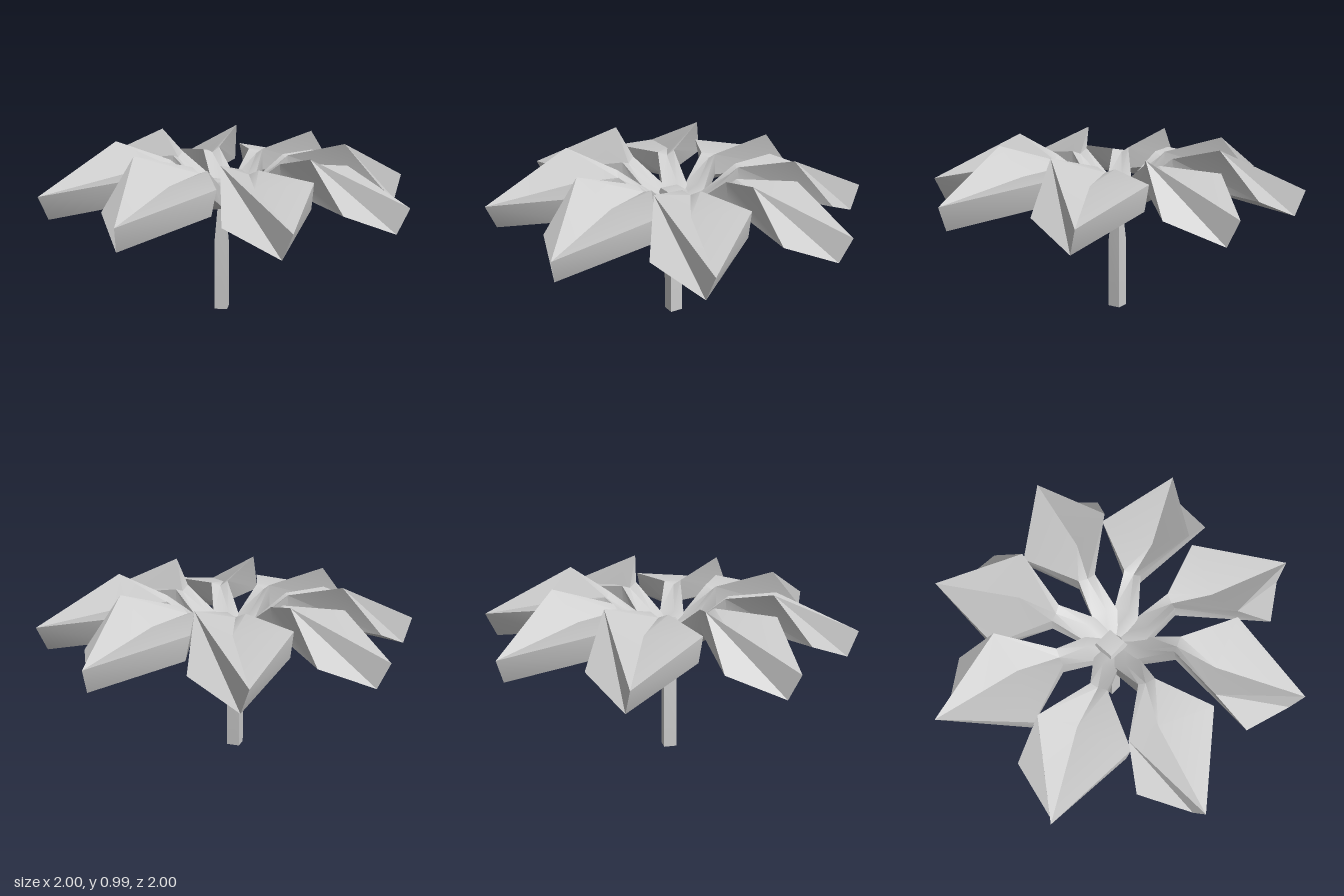
import * as THREE from 'three';
import { toCreasedNormals } from 'three/addons/utils/BufferGeometryUtils.js';

// Skins six-point rings (left, middle, right on top; right, middle, left below)
function loft(rings) {
  const pos = [];
  const tri = (a, b, c) => {
    const n = new THREE.Triangle(...[a, b, c].map(p => new THREE.Vector3(...p)));
    if (n.getArea() > 1e-7) pos.push(...a, ...b, ...c);
  };
  for (let i = 0; i < rings.length - 1; i++) {
    for (let j = 0; j < 6; j++) {
      const k = (j + 1) % 6;
      const a = rings[i][j], b = rings[i][k], c = rings[i + 1][k], d = rings[i + 1][j];
      tri(a, d, b);
      tri(b, d, c);
    }
  }
  for (let k = 1; k < 5; k++) tri(rings[0][0], rings[0][k], rings[0][k + 1]);
  const geo = new THREE.BufferGeometry();
  geo.setAttribute('position', new THREE.Float32BufferAttribute(pos, 3));
  return toCreasedNormals(geo, 0.75);
}

// Square column from [y, half width] rows
function squareColumn(rows) {
  const geo = new THREE.LatheGeometry(rows.map(([y, h]) => new THREE.Vector2(h * Math.SQRT2, y)), 4);
  geo.rotateY(Math.PI / 4);
  return toCreasedNormals(geo.toNonIndexed(), 0.6);
}

export function createModel() {
  const model = new THREE.Group();
  model.name = 'flower';
  const material = new THREE.MeshStandardMaterial({ color: 0xcccccc, side: THREE.DoubleSide });

  // Petal: narrow rising stalk, arched neck, wide folded blade, drooping tip
  const tipTop = [0.444, 0.74, 0.98], tipBottom = [0.39, 0.6, 0.945];
  const petalGeo = loft([
    [[-0.03, 0.70, 0.04], [0.01, 0.71, 0.03], [0.05, 0.70, 0.02], [0.05, 0.62, 0.02], [0.01, 0.61, 0.03], [-0.03, 0.62, 0.04]],
    [[-0.01, 0.75, 0.17], [0.05, 0.76, 0.16], [0.13, 0.75, 0.13], [0.12, 0.65, 0.13], [0.06, 0.63, 0.16], [0.0, 0.65, 0.18]],
    [[0.11, 0.90, 0.32], [0.15, 0.87, 0.305], [0.20, 0.89, 0.285], [0.20, 0.77, 0.29], [0.16, 0.73, 0.32], [0.12, 0.77, 0.33]],
    [[0.05, 0.985, 0.645], [0.21, 0.84, 0.53], [0.505, 0.865, 0.435], [0.495, 0.73, 0.46], [0.27, 0.69, 0.58], [0.09, 0.725, 0.865]],
    [tipTop, tipTop, tipTop, tipBottom, tipBottom, tipBottom],
  ]);
  const petals = new THREE.Group();
  petals.name = 'petals';
  for (let i = 0; i < 8; i++) {
    const petal = new THREE.Mesh(petalGeo, material);
    petal.name = 'petal' + (i + 1);
    petal.rotation.y = Math.floor(i / 2) * Math.PI / 2 - (i % 2) * THREE.MathUtils.degToRad(46.3);
    petals.add(petal);
  }
  model.add(petals);

  // Centre button
  const hub = new THREE.Mesh(squareColumn([[0.66, 0], [0.68, 0.05], [0.72, 0.067], [0.765, 0.055], [0.775, 0]]), material);
  hub.name = 'flowerCentre';
  hub.position.set(-0.045, 0, 0);
  model.add(hub);

  // Square stem, narrowing towards the bloom
  const stem = new THREE.Mesh(squareColumn([[0, 0], [0, 0.037], [0.4, 0.037], [0.61, 0.02], [0.7, 0.02]]), material);
  stem.name = 'stem';
  stem.position.set(-0.045, 0, 0.005);
  model.add(stem);

  return model;
}
